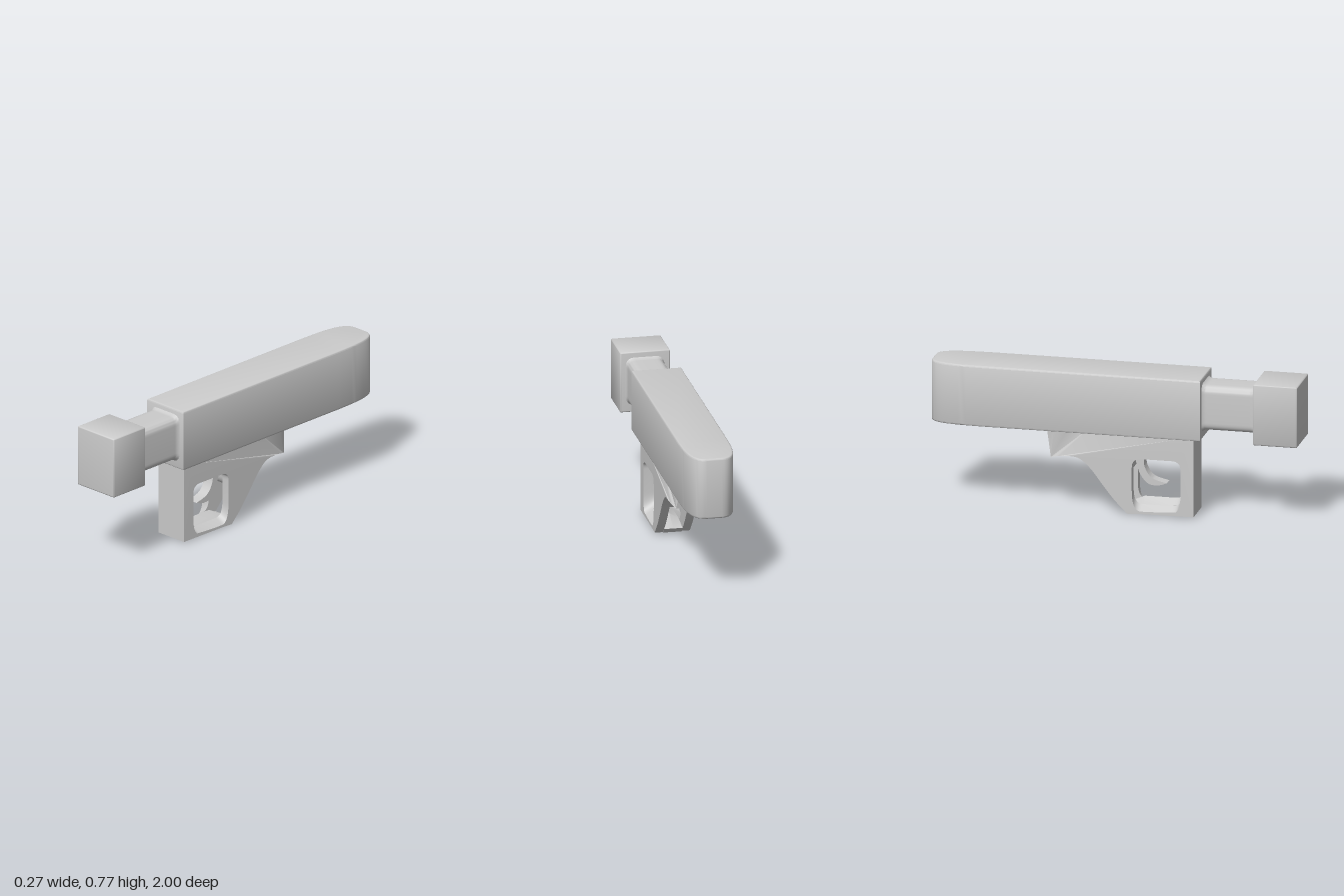
import * as THREE from 'three';
import { toCreasedNormals } from 'three/addons/utils/BufferGeometryUtils.js';
import { RoundedBoxGeometry } from 'three/addons/geometries/RoundedBoxGeometry.js';

const V = (pts) => pts.map(([a, b]) => new THREE.Vector2(a, b));

// Rounded rectangle outline, used for the neck and the finger hole
function roundedRect(path, x0, y0, x1, y1, r) {
  path.moveTo(x0 + r, y0);
  path.lineTo(x1 - r, y0);
  path.quadraticCurveTo(x1, y0, x1, y0 + r);
  path.lineTo(x1, y1 - r);
  path.quadraticCurveTo(x1, y1, x1 - r, y1);
  path.lineTo(x0 + r, y1);
  path.quadraticCurveTo(x0, y1, x0, y1 - r);
  path.lineTo(x0, y0 + r);
  path.quadraticCurveTo(x0, y0, x0 + r, y0);
  return path;
}

// Move every vertex of a geometry by a rule
function deform(geo, rule) {
  const p = geo.attributes.position;
  const v = new THREE.Vector3();
  for (let i = 0; i < p.count; i++) {
    rule(v.fromBufferAttribute(p, i));
    p.setXYZ(i, v.x, v.y, v.z);
  }
  geo.computeVertexNormals();
  return geo;
}

// Side profile drawn in (z, y), extruded from x0 to x1
function sideExtrude(shape, x0, x1, steps = 1) {
  const geo = new THREE.ExtrudeGeometry(shape, { depth: x1 - x0, steps, bevelEnabled: false, curveSegments: 8 });
  return geo.rotateY(-Math.PI / 2).translate(x1, 0, 0);
}

export function createModel() {
  const model = new THREE.Group();
  const material = new THREE.MeshStandardMaterial({ color: 0xcccccc });
  const add = (name, geo, crease = 0.6) => {
    const mesh = new THREE.Mesh(toCreasedNormals(geo, crease), material);
    mesh.name = name;
    model.add(mesh);
  };

  // Long body with a rounded rear, drawn in plan
  const plan = new THREE.Shape();
  plan.moveTo(-0.135, 0.475);
  plan.lineTo(-0.135, -0.7);
  plan.bezierCurveTo(-0.132, -0.87, -0.125, -1, -0.04, -1);
  plan.lineTo(0.04, -1);
  plan.bezierCurveTo(0.125, -1, 0.132, -0.87, 0.135, -0.7);
  plan.lineTo(0.135, 0.475);
  const b = 0.01;
  const body = new THREE.ExtrudeGeometry(plan, {
    depth: 0.335 - 2 * b, bevelThickness: b, bevelSize: b, bevelOffset: -b, bevelSegments: 3, curveSegments: 20,
  });
  add('body', body.rotateX(Math.PI / 2).translate(0, 0.775 - b, 0));

  // Block at the front
  add('frontBlock', new RoundedBoxGeometry(0.27, 0.335, 0.24, 3, 0.008).translate(0, 0.6075, 0.88));

  // Neck between body and block, flared at both ends
  const neckLength = 0.305;
  const neck = new THREE.ExtrudeGeometry(roundedRect(new THREE.Shape(), -0.098, -0.123, 0.098, 0.123, 0.045), {
    depth: neckLength, steps: 40, bevelEnabled: false, curveSegments: 8,
  });
  deform(neck, (v) => {
    const end = Math.min(v.z, neckLength - v.z);
    const flare = 1 + 0.15 * Math.max(0, 1 - end / 0.032) ** 2;
    v.x *= flare;
    v.y *= flare;
  });
  add('neck', neck.translate(0, 0.613, 0.466));

  // Guard: solid cheeks with a finger hole, and a middle layer open at the back
  const rear = [[-0.13, 0.24], [-0.19, 0.29], [-0.25, 0.3], [-0.3, 0.295], [-0.35, 0.28]];
  const closeTop = (shape) => {
    for (const z of [-0.38, -0.36, -0.33, -0.29, -0.25, -0.15]) shape.lineTo(z, 0.45);
    shape.lineTo(0.43, 0.45);
  };

  const cheek = new THREE.Shape();
  cheek.moveTo(0.43, 0.45);
  cheek.lineTo(0.43, 0.008);
  cheek.lineTo(0.14, 0.006);
  cheek.lineTo(0.07, 0.003);
  cheek.splineThru(V([[0, 0.075], [-0.06, 0.15], ...rear]));
  closeTop(cheek);
  cheek.holes.push(roundedRect(new THREE.Path(), 0.095, 0.08, 0.36, 0.31, 0.05));

  const core = new THREE.Shape();
  core.moveTo(0.43, 0.45);
  core.lineTo(0.43, 0.008);
  core.lineTo(0.14, 0.004);
  core.lineTo(0.07, 0);
  core.lineTo(0.045, 0.028);
  core.lineTo(0.145, 0.08);
  core.lineTo(0.31, 0.08);
  core.quadraticCurveTo(0.36, 0.08, 0.36, 0.13);
  core.lineTo(0.36, 0.26);
  core.quadraticCurveTo(0.36, 0.31, 0.31, 0.31);
  core.lineTo(0.145, 0.31);
  core.quadraticCurveTo(0.095, 0.31, 0.095, 0.26);
  core.quadraticCurveTo(0.085, 0.21, 0.03, 0.21);
  core.lineTo(-0.098, 0.2);
  core.splineThru(V(rear));
  closeTop(core);

  // Round the rear end in plan and slope the hole's floor down to both sides
  const shapeGuard = (v) => {
    const t = THREE.MathUtils.clamp((-v.z - 0.25) / 0.13, 0, 1);
    if (v.y > 0.05 && v.y < 0.13 && v.z > 0.094 && v.z < 0.365) {
      v.y -= ((0.13 - v.y) / 0.05) * 0.06 * (Math.abs(v.x) / 0.095);
    }
    v.x *= Math.sqrt(1 - 0.8 * t * t);
  };
  const inner = 0.05, outer = 0.095;
  add('guardCore', deform(sideExtrude(core, -inner, inner, 2), shapeGuard));
  add('guardLeftCheek', deform(sideExtrude(cheek, inner, outer), shapeGuard));
  add('guardRightCheek', deform(sideExtrude(cheek, -outer, -inner), shapeGuard));

  // Curved trigger inside the hole
  const trigger = new THREE.Shape();
  trigger.moveTo(0.145, 0.33);
  trigger.splineThru(V([[0.15, 0.25], [0.19, 0.19], [0.27, 0.165]]));
  trigger.splineThru(V([[0.22, 0.15], [0.165, 0.16], [0.12, 0.22], [0.09, 0.33]]));
  add('trigger', sideExtrude(trigger, -0.03, 0.03));

  return model;
}
